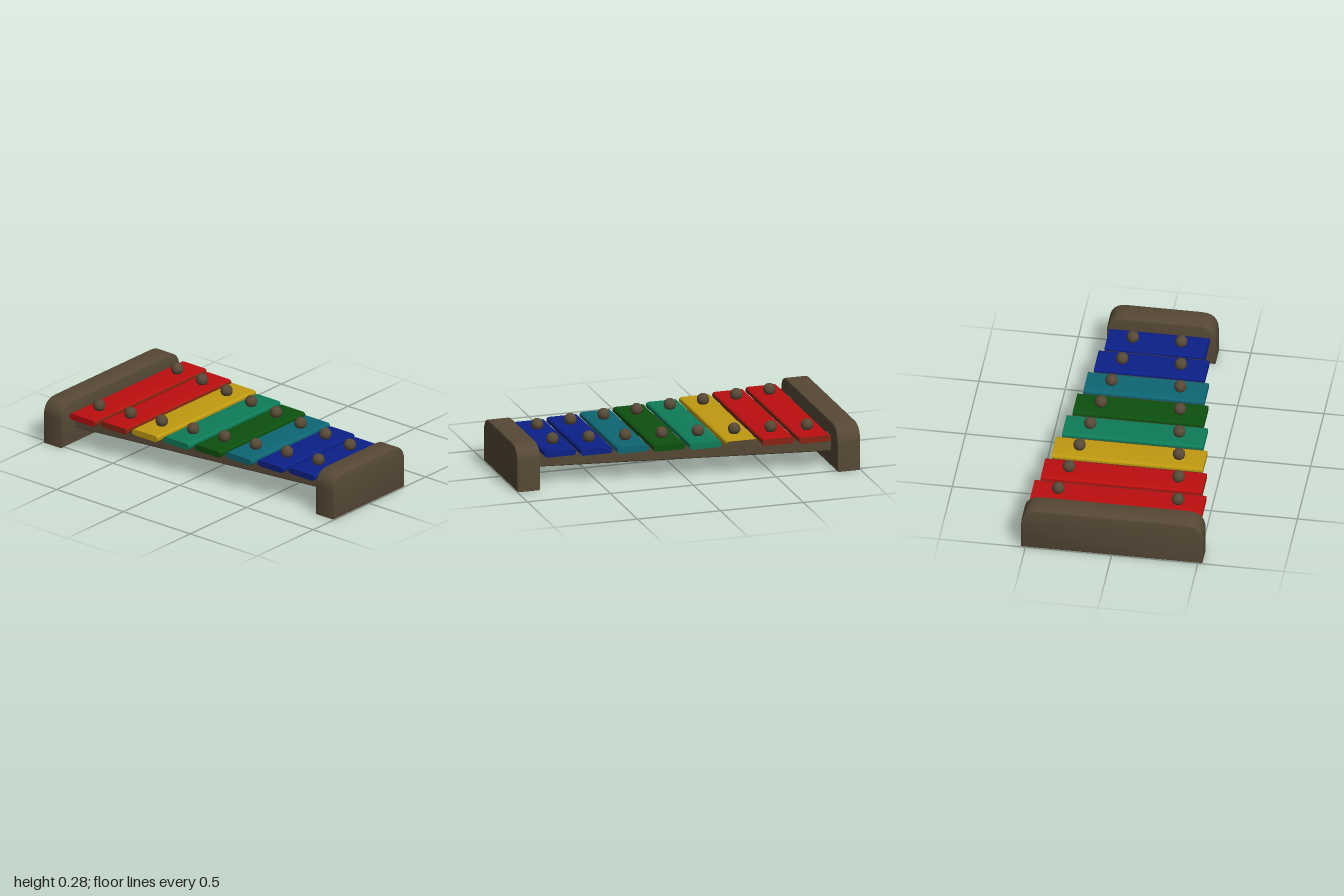
import * as THREE from 'three';
import { toCreasedNormals } from 'three/addons/utils/BufferGeometryUtils.js';
import { RoundedBoxGeometry } from 'three/addons/geometries/RoundedBoxGeometry.js';

function material(name, color) {
  const m = new THREE.MeshStandardMaterial({ color });
  m.name = name;
  return m;
}

// End block: rounded top corners in z/y, small bevel all round
function blockGeometry(halfZ) {
  const b = 0.01, w = halfZ - b, h = 0.268 - b, r = 0.09;
  const s = new THREE.Shape();
  s.moveTo(-w, b);
  s.lineTo(w, b);
  s.lineTo(w, h - r);
  s.quadraticCurveTo(w, h, w - r, h);
  s.lineTo(-w + r, h);
  s.quadraticCurveTo(-w, h, -w, h - r);
  s.closePath();
  const g = new THREE.ExtrudeGeometry(s, {
    depth: 0.12, bevelEnabled: true, bevelSize: b, bevelThickness: b, bevelSegments: 2, curveSegments: 6,
  });
  g.translate(0, 0, -0.06);
  g.rotateY(Math.PI / 2);
  return toCreasedNormals(g, 0.6);
}

// Tone bar: rounded cross-section along z; groups 0 top, 1 underside, 2 +x edge, 3 front end, 4 back end
function barGeometry(length) {
  const w = 0.095, h = 0.0185, r = 0.0165;
  const s = new THREE.Shape();
  s.absarc(w - r, -h + r, r, -Math.PI / 2, 0);
  s.absarc(w - r, h - r, r, 0, Math.PI / 2);
  s.absarc(-w + r, h - r, r, Math.PI / 2, Math.PI);
  s.absarc(-w + r, -h + r, r, Math.PI, Math.PI * 1.5);
  const e = new THREE.ExtrudeGeometry(s, { depth: length, bevelEnabled: false, curveSegments: 4 });
  e.translate(0, 0, -length / 2);
  const g = toCreasedNormals(e, 0.6);
  g.clearGroups();
  const p = g.attributes.position;
  const tri = new THREE.Triangle(), n = new THREE.Vector3();
  for (let i = 0; i < p.count; i += 3) {
    tri.setFromAttributeAndIndices(p, i, i + 1, i + 2);
    tri.getNormal(n);
    let m = 0;
    if (n.z > 0.5) m = 3;
    else if (n.z < -0.5) m = 4;
    else if (n.x > 0.7) m = 2;
    else if (n.y < -0.01) m = 1;
    g.addGroup(i, 3, m);
  }
  return g;
}

export function createModel() {
  const model = new THREE.Group();
  model.name = 'xylophone';
  const wood = material('brown wood', 0x574936);
  const red = material('red', 0xbc0e0f);
  const rust = material('rust red', 0x8a2412);
  const yellow = material('yellow', 0xc09a10);
  const jade = material('jade green', 0x0e7c58);
  const green = material('dark green', 0x0d500f);
  const teal = material('teal', 0x0e6674);
  const blue = material('blue', 0x0c2088);

  function add(name, geometry, mat, x, y, z) {
    const mesh = new THREE.Mesh(geometry, mat);
    mesh.name = name;
    mesh.position.set(x, y, z);
    model.add(mesh);
    return mesh;
  }

  // End blocks
  add('largeEndBlock', blockGeometry(0.525), wood, -0.93, 0, 0);
  add('smallEndBlock', blockGeometry(0.315), wood, 0.93, 0, 0);

  // Converging rails
  const slope = 0.141;
  const railGeometry = new RoundedBoxGeometry(1.75, 0.095, 0.086, 2, 0.008);
  for (const side of [1, -1]) {
    const rail = add(side > 0 ? 'frontRail' : 'backRail', railGeometry, wood, 0, 0.1375, side * 0.241);
    rail.rotation.y = side * Math.atan(slope);
  }

  // Bars, each held by two round pegs
  const colours = [red, red, yellow, jade, green, teal, blue, blue];
  const pegGeometry = new THREE.SphereGeometry(0.036, 14, 10);
  colours.forEach((c, i) => {
    const x = -0.733 + i * 0.2095;
    const edge = c === red ? rust : c;
    const front = i === 1 ? rust : c;
    const back = c === yellow ? wood : edge;
    add('bar' + (i + 1), barGeometry(0.995 - i * 0.059), [c, wood, edge, front, back], x, 0.2015, -0.002);
    for (const side of [1, -1]) {
      add((side > 0 ? 'frontPeg' : 'backPeg') + (i + 1), pegGeometry, wood, x, 0.245, side * (0.347 - i * 0.0295) - 0.003);
    }
  });
  return model;
}
